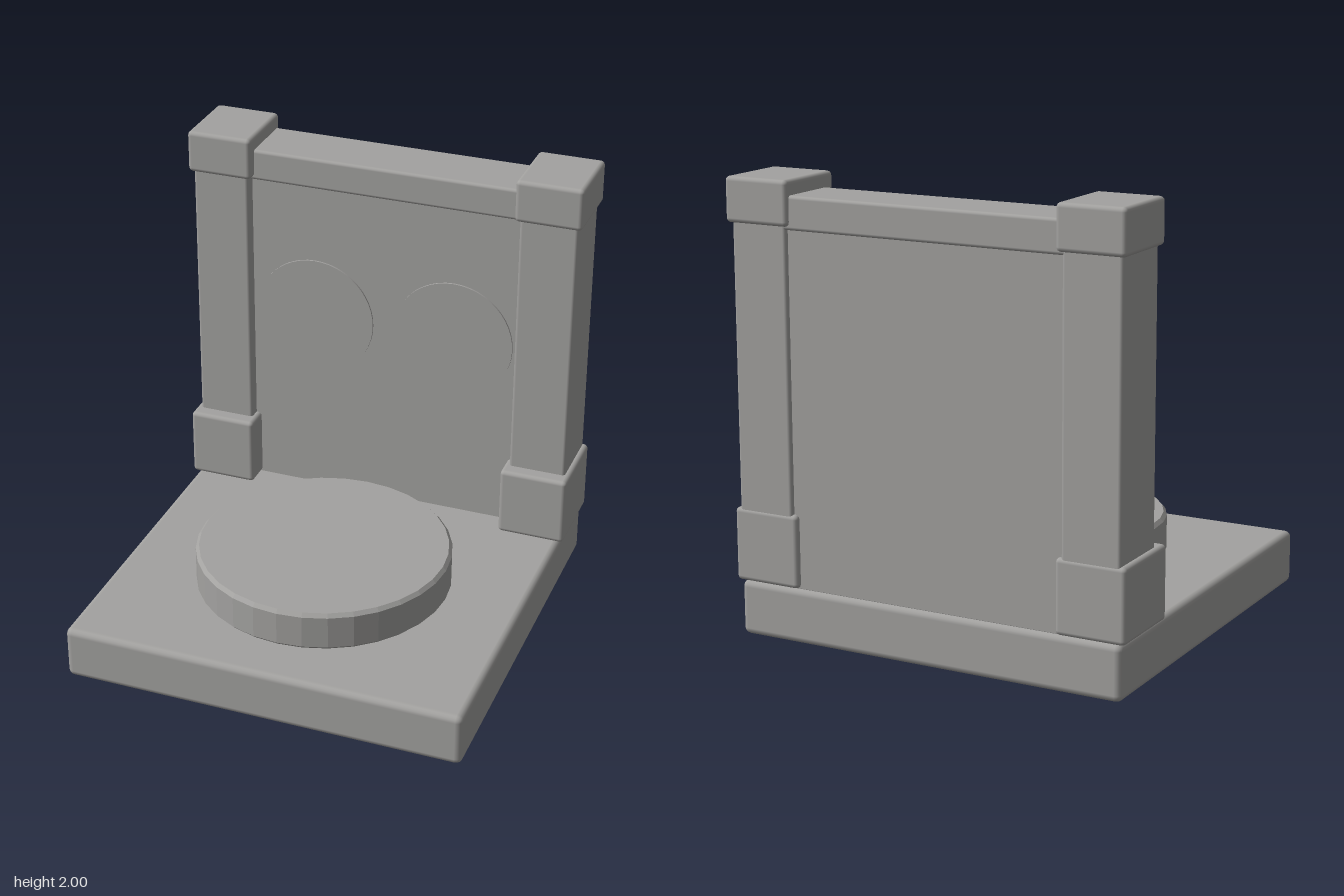
import * as THREE from 'three';
import { RoundedBoxGeometry } from 'three/addons/geometries/RoundedBoxGeometry.js';

const stone = new THREE.MeshStandardMaterial({ color: 0xa3a2a0 });
stone.name = 'stoneGrey';

// Rounded block given by its lower and upper limits on each axis
function block(name, [x0, x1], [y0, y1], [z0, z1], radius = 0.02) {
  const geometry = new RoundedBoxGeometry(x1 - x0, y1 - y0, z1 - z0, 2, radius);
  const mesh = new THREE.Mesh(geometry, stone);
  mesh.name = name;
  mesh.position.set((x0 + x1) / 2, (y0 + y1) / 2, (z0 + z1) / 2);
  return mesh;
}

export function createModel() {
  const model = new THREE.Group();
  model.name = 'squareSeatWithBack';

  // Base slab
  model.add(block('base', [-0.91, 0.91], [0, 0.245], [-0.9, 0.92], 0.03));

  // Corner columns with wider feet and caps
  for (const side of [-1, 1]) {
    const column = new THREE.Group();
    column.name = side > 0 ? 'leftColumn' : 'rightColumn';
    const span = (a, b) => (side > 0 ? [a, b] : [-b, -a]);
    column.add(
      block('post', span(0.64, 0.905), [0.3, 1.95], [-0.9, -0.58], 0.015),
      block('foot', span(0.615, 0.93), [0.245, 0.57], [-0.905, -0.515]),
      block('cap', span(0.62, 0.925), [1.805, 2], [-0.92, -0.56])
    );
    model.add(column);
  }

  // Back panel and the beam along its top
  model.add(block('backPanel', [-0.66, 0.66], [0.24, 1.82], [-0.88, -0.635], 0.005));
  model.add(block('topBeam', [-0.66, 0.66], [1.79, 1.935], [-0.9, -0.61], 0.015));

  // Pair of thin discs on the panel
  for (const side of [-1, 1]) {
    const disc = new THREE.Mesh(new THREE.CylinderGeometry(0.284, 0.284, 0.009, 48), stone);
    disc.name = side > 0 ? 'leftDisc' : 'rightDisc';
    disc.rotation.x = Math.PI / 2;
    disc.position.set(side * 0.334, 1.14, -0.631);
    model.add(disc);
  }

  // Round faceted cushion with a small bevel
  const profile = [[0, 0], [0.56, 0], [0.575, 0.015], [0.575, 0.165], [0.56, 0.182], [0, 0.182]]
    .map(([r, y]) => new THREE.Vector2(r, y));
  const cushionGeometry = new THREE.LatheGeometry(profile, 32).toNonIndexed();
  cushionGeometry.computeVertexNormals();
  const cushion = new THREE.Mesh(cushionGeometry, stone);
  cushion.name = 'roundSeat';
  cushion.position.set(0, 0.247, 0.13);
  model.add(cushion);

  return model;
}
